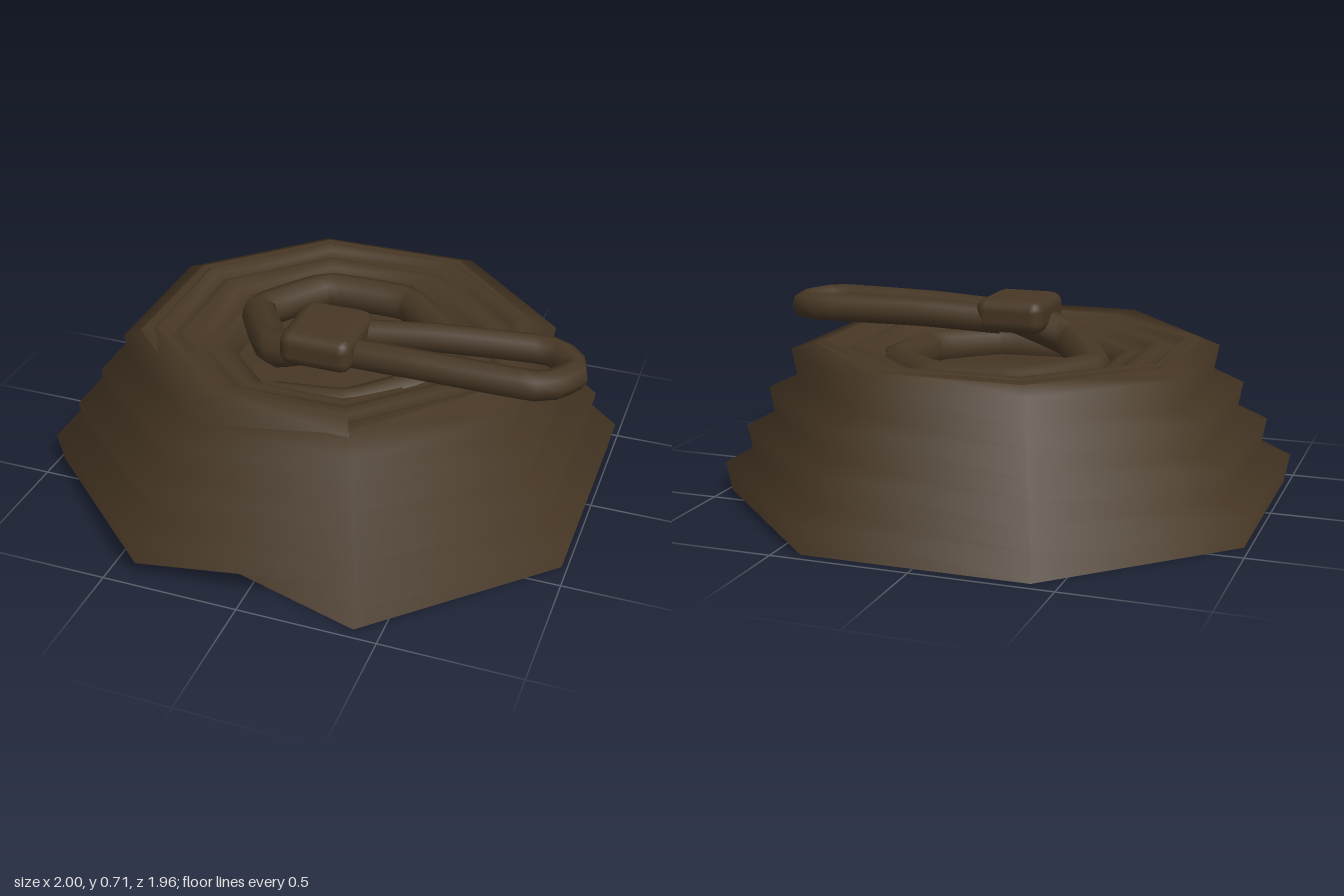
import * as THREE from 'three';
import { RoundedBoxGeometry } from 'three/addons/geometries/RoundedBoxGeometry.js';

const K = 1 / Math.cos(Math.PI / 8); // side distance to corner distance of an octagon

export function createModel() {
  const group = new THREE.Group();
  const rope = new THREE.MeshStandardMaterial({ color: 0x463624, side: THREE.DoubleSide });
  rope.name = 'dark brown rope';

  const add = (name, geometry) => {
    const mesh = new THREE.Mesh(geometry, rope);
    mesh.name = name;
    group.add(mesh);
    return mesh;
  };

  // Outer wall: an eight-cornered spiral that climbs one step at the front of each turn
  const section = [[0.98, 0], [1.0, 0.11], [0.885, 0.147]];
  const turns = 4, n = section.length;
  const positions = [], normals = [], index = [];
  for (let i = -1; i <= turns * 8; i++) {
    const start = i < 0; // loose end tucked inside the first turn
    const j = (i + 8) % 8, turn = Math.floor(i / 8);
    const bulge = j === 0 && turn > 0 ? 0.03 : 0; // rope crossing over the turn below
    const inset = start ? 0.22 : (turn + (j === 7 ? 0.15 : 0)) * (0.077 + 0.002 * j) - bulge;
    const rise = start ? 0 : 0.145 * (turn + (j === 7 ? 0.35 : 0));
    const phi = Math.PI / 8 + i * Math.PI / 4;
    section.forEach(([r, y], k) => {
      const d = (r - inset) * K;
      positions.push(d * Math.sin(phi), Math.min(0.58, y + rise), 0.98 * d * Math.cos(phi));
      // One soft slope over all steps, rolling over at the top
      const up = k === 2 && turn > 2 ? 0.95 : 0.45;
      const out = Math.sqrt(1 - up * up);
      normals.push(out * Math.sin(phi), up, out * Math.cos(phi));
    });
  }
  for (let i = 0; i <= turns * 8; i++) {
    for (let k = 0; k < n - 1; k++) {
      const a = i * n + k, b = a + n;
      index.push(a, b, a + 1, b, b + 1, a + 1);
    }
  }
  const wall = new THREE.BufferGeometry();
  wall.setAttribute('position', new THREE.Float32BufferAttribute(positions, 3));
  wall.setAttribute('normal', new THREE.Float32BufferAttribute(normals, 3));
  wall.setIndex(index);
  add('outerCoils', wall);

  // Top coils: rounded ridges stepping in toward the centre
  const lathe = (name, points) => add(name, new THREE.LatheGeometry(
    points.map(([r, y]) => new THREE.Vector2(r * K, y)).reverse(), 8, Math.PI / 8));
  lathe('topCoils', [[0.67, 0.572], [0.63, 0.577], [0.6, 0.56], [0.575, 0.54], [0.55, 0.555],
    [0.52, 0.562], [0.48, 0.545], [0.455, 0.52], [0.43, 0.53], [0.4, 0.525], [0.36, 0.49], [0.35, 0.44]]);

  // Sunken middle of the coil
  lathe('innerFloor', [[0.4, 0.45], [0.32, 0.44], [0.2, 0.46], [0, 0.48]]);

  // Tubes along lightly rounded corners
  const tube = (name, points, radius, steps, tension) => add(name, new THREE.TubeGeometry(
    new THREE.CatmullRomCurve3(points.map(p => new THREE.Vector3(...p)), false, 'catmullrom', tension),
    steps, radius, 8, false));

  // Innermost turn of rope rising into the knot
  tube('innerTurn', [[-0.1, 0.46, 0.4], [0.17, 0.47, 0.37], [0.38, 0.48, 0.16], [0.39, 0.49, -0.16],
    [0.15, 0.495, -0.39], [-0.18, 0.5, -0.38], [-0.36, 0.505, -0.11], [-0.17, 0.55, 0.2],
    [0.03, 0.62, 0.21]], 0.07, 48, 0.15);

  // Knot band around the tail
  add('knot', new RoundedBoxGeometry(0.27, 0.13, 0.3, 2, 0.045)).position.set(0.035, 0.642, 0.207);

  // Loop of rope sticking out sideways
  tube('endLoop', [[0.08, 0.62, 0.12], [0.4, 0.638, 0.075], [0.79, 0.643, 0.035], [0.88, 0.638, 0.075],
    [0.92, 0.632, 0.14], [0.88, 0.636, 0.22], [0.81, 0.638, 0.275], [0.4, 0.634, 0.27],
    [0.08, 0.62, 0.25]], 0.054, 32, 0.3);

  return group;
}
